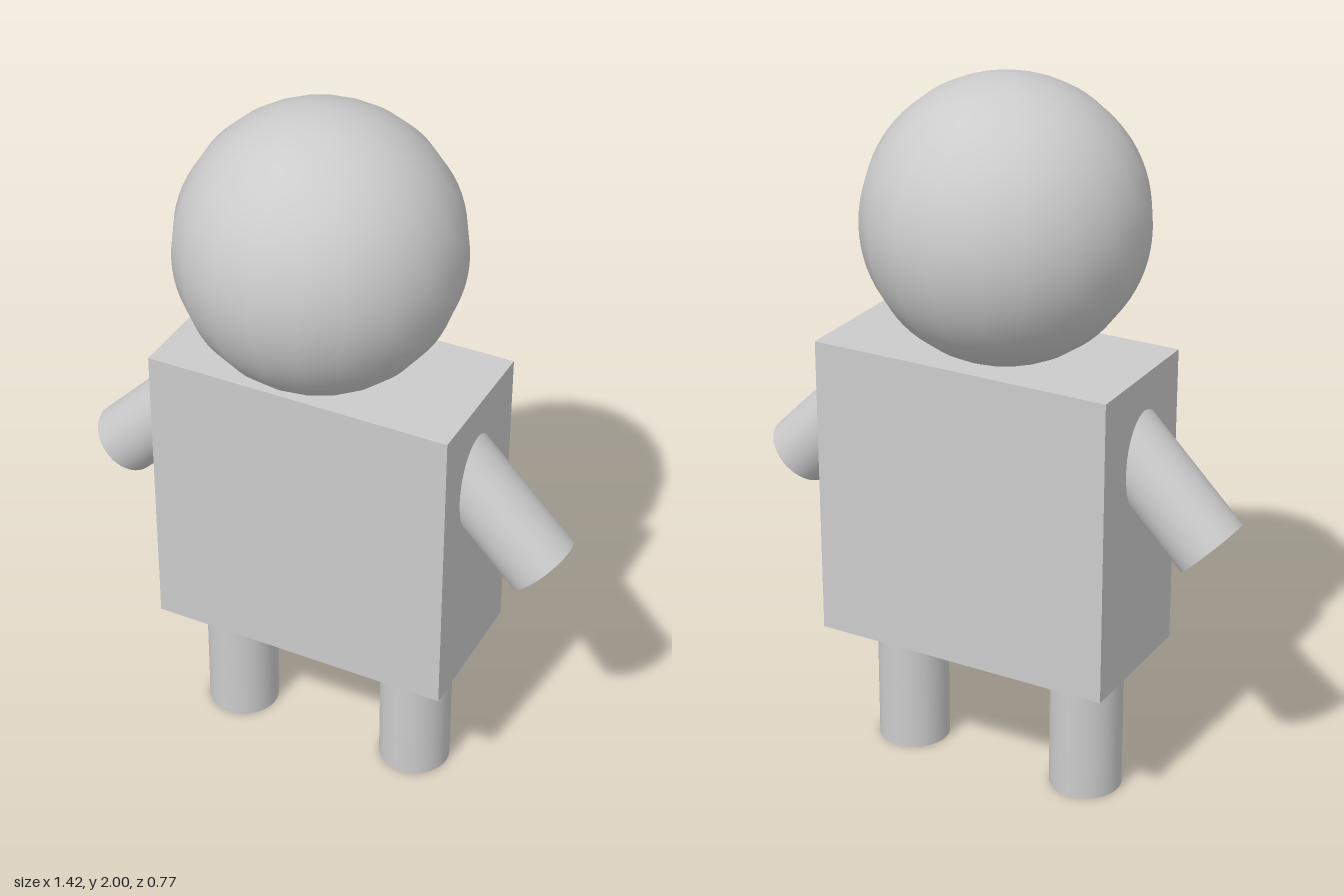
import * as THREE from 'three';

const RADIUS = 0.102;

export function createModel() {
  const model = new THREE.Group();
  const material = new THREE.MeshStandardMaterial({ color: 0xcccccc });

  const add = (name, geometry, x, y, z) => {
    const mesh = new THREE.Mesh(geometry, material);
    mesh.name = name;
    mesh.position.set(x, y, z);
    model.add(mesh);
    return mesh;
  };

  // Ball head, slightly off centre, resting in the top of the torso
  add('head', new THREE.SphereGeometry(0.383, 20, 40), -0.022, 1.617, 0);

  // Box torso
  add('torso', new THREE.BoxGeometry(0.868, 0.86, 0.422), 0, 0.835, -0.015);

  // Mirrored limbs
  const legHeight = 0.45;
  const armLength = 0.48;
  const legGeometry = new THREE.CylinderGeometry(RADIUS, RADIUS, legHeight, 40);
  const armGeometry = new THREE.CylinderGeometry(RADIUS, RADIUS, armLength, 40);
  const armOffset = (armLength / 2) * Math.SQRT1_2;

  for (const [side, s] of [['left', 1], ['right', -1]]) {
    add(side + 'Leg', legGeometry, s * 0.279, legHeight / 2, 0);

    // Arms slope outward and down at 45 degrees from inside the torso
    const arm = add(side + 'Arm', armGeometry, s * (0.638 - armOffset), 0.815 + armOffset, 0);
    arm.rotation.z = s * Math.PI / 4;
  }

  return model;
}
